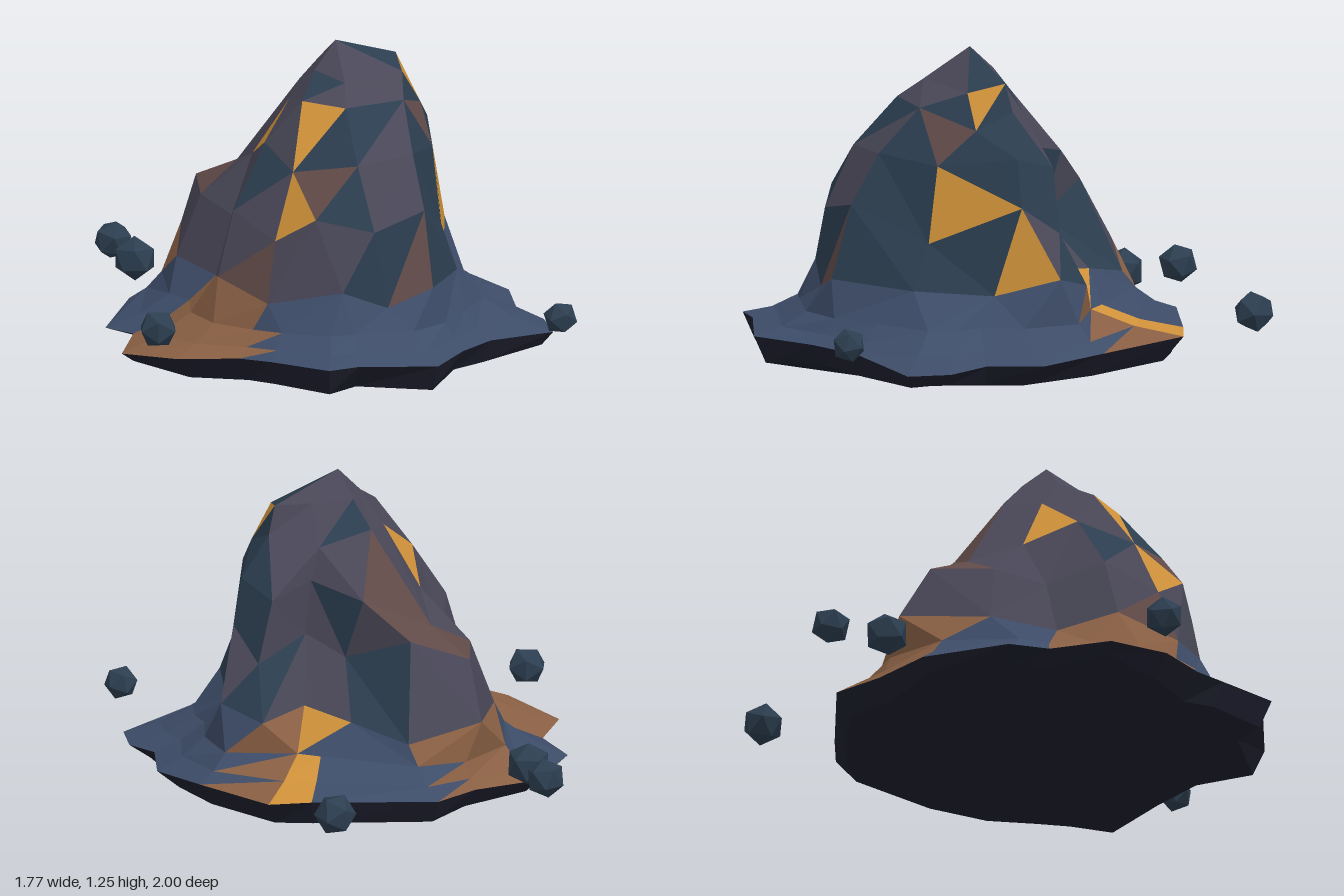
import * as THREE from 'three';

const CZ = 0.14; // the peak's vertical axis stands at x = 0, z = CZ
const COLORS = {
  skirt: 0x3d4c68, slate: 0x2c3e50, stone: 0x4a4858, brown: 0x604a48,
  clay: 0x8a6044, ore: 0xd0923a, underside: 0x1c1e2c,
};

// Seeded noise in 0..1
let seed = 11;
const rnd = () => (seed = (seed * 16807) % 2147483647) / 2147483647;

// A ring is a list of points sorted by angle about the axis
function ring(y, points) {
  return points.map(([x, z, dy = 0]) => ({
    p: new THREE.Vector3(x, y + dy, z),
    a: (Math.atan2(z - CZ, x) + Math.PI * 2) % (Math.PI * 2),
    r: Math.hypot(x, z - CZ),
  })).sort((m, n) => m.a - n.a);
}

// Radius of a ring at any angle
function radiusAt(rg, a) {
  const T = Math.PI * 2, n = rg.length;
  let i = rg.findIndex((v) => v.a > a);
  if (i < 0) i = 0;
  const lo = rg[(i + n - 1) % n], hi = rg[i];
  const span = (hi.a - lo.a + T) % T;
  return lo.r + (hi.r - lo.r) * (((a - lo.a + T) % T) / span);
}

// Joins a lower and an upper ring of any point counts with triangles
function stitch(lower, upper, emit) {
  const at = (rg, i) => rg[i % rg.length];
  const ang = (rg, i) => at(rg, i).a + (i >= rg.length ? Math.PI * 2 : 0);
  const nl = lower.length > 1 ? lower.length : 0;
  const nu = upper.length > 1 ? upper.length : 0;
  let i = 0, j = 0;
  while (i < nl || j < nu) {
    const stepLow = j >= nu || (i < nl && ang(lower, i + 1) <= ang(upper, j + 1));
    const A = at(lower, i).p, B = at(upper, j).p;
    const C = stepLow ? at(lower, ++i).p : at(upper, ++j).p;
    emit(A, B, C);
  }
}

function flatMesh(name, color, triangles) {
  const g = new THREE.BufferGeometry().setFromPoints(triangles.flat());
  g.computeVertexNormals();
  const mesh = new THREE.Mesh(g, new THREE.MeshStandardMaterial({ color, flatShading: true }));
  mesh.name = name;
  return mesh;
}

export function createModel() {
  const model = new THREE.Group();
  model.name = 'rockyIsland';

  // Outline of the wide rim, sagging toward the sides
  const outline = [
    [0.8, 0.28], [0.77, 0.12], [0.67, 0], [0.65, -0.22], [0.48, -0.42], [0.21, -0.69], [0.05, -0.67],
    [-0.42, -0.59], [-0.55, -0.41], [-0.77, -0.21], [-0.87, 0.13], [-0.77, 0.27], [-0.82, 0.51],
    [-0.62, 0.69], [-0.39, 0.77], [-0.27, 0.85], [-0.06, 1], [0.05, 0.95], [0.35, 0.91], [0.45, 0.68], [0.56, 0.5],
  ];
  const rim = ring(0, outline.map(([x, z]) => [x, z, 0.21 - 0.1 * x * x]));

  // Cross-sections of the peak: x, z and a small height offset
  const foot = ring(0.4, [
    [0.44, 0.3], [0.34, 0.62, 0.02], [0.17, 0.68, -0.04], [0, 0.72, 0.03], [-0.28, 0.68, -0.02], [-0.46, 0.48, 0.03],
    [-0.46, 0.25, -0.03], [-0.6, 0.02, -0.02], [-0.57, -0.33, 0.02], [-0.3, -0.4, -0.05], [-0.08, -0.3],
    [0.1, -0.2, 0.03], [0.25, -0.33], [0.41, -0.25, 0.05], [0.4, 0, -0.02],
  ]);
  const peak = [
    foot,
    ring(0.65, [
      [0.38, 0.25, -0.08], [0.31, 0.55, 0.05], [0.12, 0.67, 0], [-0.1, 0.67, 0.05], [-0.25, 0.6, -0.05], [-0.4, 0.42, 0.02],
      [-0.4, 0.2, -0.06], [-0.51, 0.02, -0.03], [-0.52, -0.22, -0.02], [-0.3, -0.24, 0.05], [-0.05, -0.13, -0.05],
      [0.1, -0.1, 0.03], [0.27, -0.23, -0.05], [0.37, -0.1, 0.06],
    ]),
    ring(0.86, [
      [0.35, 0.22], [0.27, 0.45, 0.03], [0.06, 0.57, 0.02], [-0.18, 0.5, -0.02], [-0.28, 0.3, 0.04], [-0.32, 0.1, -0.06],
      [-0.37, -0.1, -0.14], [-0.12, -0.19, -0.02], [0.08, -0.1, 0.03], [0.22, -0.2, -0.02], [0.34, -0.08, 0.03],
    ]),
    ring(1.04, [
      [0.31, 0.08, -0.05], [0.24, 0.3, 0.02], [0.02, 0.41, 0.02], [-0.14, 0.34, 0.03], [-0.18, 0.15, -0.01],
      [-0.14, 0, 0.02], [0.05, -0.07, -0.03], [0.24, -0.05, 0.01],
    ]),
    ring(1.13, [[0.22, -0.02, 0.025], [0.24, 0.12, -0.01], [0.02, 0.31], [-0.09, 0.2, 0.02], [-0.07, 0.06, 0.03], [0.08, 0.03, 0.02]]),
    ring(1.25, [[-0.01, 0.14]]),
  ];

  // Flared rings between the rim and the foot of the peak
  const flare = (t, y) => ring(0, rim.map(({ a, r, p }) => {
    const R = THREE.MathUtils.lerp(radiusAt(foot, a), r, t);
    return [Math.cos(a) * R, CZ + Math.sin(a) * R, y - (0.21 - p.y) * t];
  }));
  const skirt = [rim, flare(0.6, 0.235), flare(0.25, 0.285), foot];

  // Shallow faceted keel
  const keel = (s, y, step) => ring(0, rim.filter((_, i) => i % step === 0).map(({ p }) => {
    const k = s + (rnd() - 0.5) * 0.08;
    return [p.x * k, CZ + (p.z - CZ) * k, y + (rnd() - 0.5) * 0.025];
  }));
  const under = [ring(0, [[0.12, 0.05]]), keel(0.32, 0.025, 3), keel(0.65, 0.05, 2), keel(0.91, 0.1, 1), rim];

  // Faces sorted by rock colour
  const faces = Object.fromEntries(Object.keys(COLORS).map((k) => [k, []]));
  const centre = (t) => t[0].clone().add(t[1]).add(t[2]).divideScalar(3);
  const loft = (rings, pick) => {
    for (let k = 0; k + 1 < rings.length; k++) {
      stitch(rings[k], rings[k + 1], (...t) => faces[pick(centre(t), t)].push(t));
    }
  };

  loft(under, () => 'underside');
  loft(skirt, (c) => {
    const deg = (Math.atan2(c.z - CZ, c.x) * 180 / Math.PI + 360) % 360;
    if ((deg > 118 && deg < 168) || (deg > 204 && deg < 234) || (deg > 284 && deg < 299)) return 'clay';
    return deg > 274 && deg <= 284 ? 'ore' : 'skirt';
  });

  // Ore shows on the peak face closest to each of these spots
  const ore = [[-0.14, 1.02, 0.38], [-0.17, 0.77, 0.58], [0.24, 1.08, 0.06], [0.38, 0.7, 0.05], [0.4, 0.45, -0.17], [-0.3, 0.88, 0.25]]
    .map((s) => new THREE.Vector3(...s));
  const peakFaces = [];
  for (let k = 0; k + 1 < peak.length; k++) stitch(peak[k], peak[k + 1], (...t) => peakFaces.push(t));
  const oreFaces = new Set(ore.map((s) => peakFaces.reduce((m, t) => (
    centre(t).distanceTo(s) < centre(m).distanceTo(s) ? t : m))));
  const normal = new THREE.Vector3();
  for (const t of peakFaces) {
    new THREE.Triangle(...t).getNormal(normal);
    const n = rnd();
    let kind = n < 0.14 ? 'brown' : n < 0.3 ? 'slate' : 'stone';
    if (normal.x > 0.45 && n > 0.12) kind = 'slate';
    if (oreFaces.has(t)) kind = 'ore';
    faces[kind].push(t);
  }
  for (const k in faces) model.add(flatMesh(k + 'Rock', COLORS[k], faces[k]));

  // Small boulders hovering around the rim
  const boulders = [
    [-0.69, 0.29, 0.69, 0.075], [-0.82, 0.28, -0.55, 0.075], [-0.745, 0.265, -0.35, 0.085],
    [0.82, 0.265, 0.5, 0.065], [-0.05, 0.255, -0.925, 0.08],
  ];
  boulders.forEach(([x, y, z, r], i) => {
    const b = new THREE.Mesh(
      new THREE.IcosahedronGeometry(r, 0),
      new THREE.MeshStandardMaterial({ color: COLORS.slate, flatShading: true }),
    );
    b.name = 'boulder' + (i + 1);
    b.position.set(x, y, z);
    b.rotation.set(i * 1.3, i * 0.8, i * 0.5);
    model.add(b);
  });
  return model;
}
